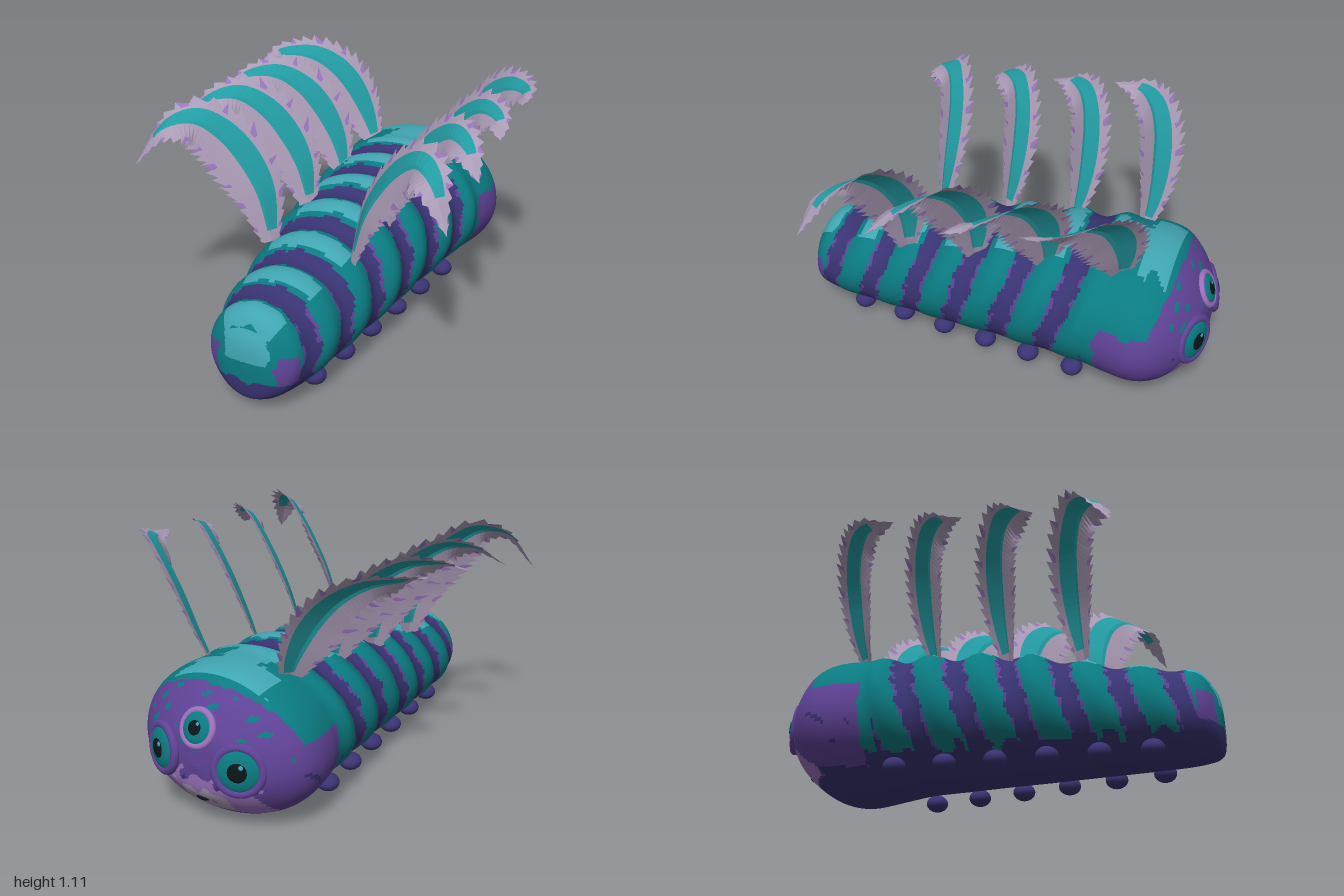
import * as THREE from 'three';

const V = (x, y, z) => new THREE.Vector3(x, y, z);
const mat = (name, color, double = false) => {
  const m = new THREE.MeshStandardMaterial({ color });
  m.name = name;
  if (double) m.side = THREE.DoubleSide;
  return m;
};

// Faces collected per material, then packed into geometry groups
function groupedMesh(name, positions, buckets, mats, flat) {
  let geo = new THREE.BufferGeometry();
  geo.setAttribute('position', new THREE.Float32BufferAttribute(positions, 3));
  geo.setIndex(buckets.flat());
  if (flat) geo = geo.toNonIndexed();
  let start = 0;
  buckets.forEach((b, i) => {
    if (b.length) geo.addGroup(start, b.length, i);
    start += b.length;
  });
  geo.computeVertexNormals();
  const mesh = new THREE.Mesh(geo, mats);
  mesh.name = name;
  return mesh;
}

// Smooth blotches used to roughen the colour borders
const noise = (x, y, z) =>
  Math.sin(41 * x + 17 * z) * Math.sin(53 * y + 31 * z + 1) + 0.5 * Math.sin(67 * x + 61 * y + 53 * z);

// Body stations from tail to face: z, half width, top, bottom
const STATIONS = [
  [0.99, 0, 0.2, 0.2], [0.983, 0.1, 0.3, 0.08], [0.955, 0.165, 0.37, 0.045], [0.9, 0.215, 0.425, 0.035],
  [0.8, 0.248, 0.455, 0.03], [0.6, 0.28, 0.488, 0.03], [0.4, 0.305, 0.535, 0.03], [0.2, 0.335, 0.585, 0.03],
  [0, 0.35, 0.62, 0.03], [-0.2, 0.375, 0.635, 0.03], [-0.4, 0.398, 0.65, 0.03], [-0.55, 0.42, 0.66, 0.015],
  [-0.7, 0.437, 0.665, 0.0], [-0.8, 0.412, 0.645, 0.02], [-0.88, 0.345, 0.58, 0.07], [-0.94, 0.255, 0.5, 0.13],
  [-0.975, 0.16, 0.43, 0.19], [-0.99, 0, 0.3, 0.3],
];
// Slanted wave that drives both the bulges and the stripes; +1 at a bulge
const wave = (depth, z) => Math.cos((Math.PI * 2 * (z - 0.3 * depth - 0.175)) / 0.241);

// 0 navy, 1 teal, 2 light teal, 3 purple, 4 lilac, 5 grey
function bodyColour(x, y, z, up, top) {
  const n = noise(x, y, z), ax = Math.abs(x);
  // Face
  if (z < -0.55 + 0.008 * n && y < 0.42 + 0.012 * n + Math.max(0, -0.78 - z) * 3) {
    if (z < -0.86 && ax < 0.09 + 0.04 * n && y > 0.08 && y < 0.19 + 0.025 * n) return 5;
    if (z < -0.79 && ax < 0.27 + 0.03 * n && y < 0.25 + 0.03 * n && y > 0.065) return 4;
    if (z < -0.83 && y > 0.36 && n > 0.85) return 1;
    if (y < 0.075 + 0.02 * n || (y < 0.3 && n < -1.2)) return 0;
    return 3;
  }
  // Belly
  if (y < 0.115 + 0.02 * n) return 0;
  // Crown of the head
  if (z < -0.49) {
    const reach = z < -0.68 ? 0.21 : z > -0.55 ? 0.21 : 0.11;
    return z > -0.81 && up > 0.7 && ax < reach + 0.025 * n ? 2 : 1;
  }
  // Tail end
  if (z > 0.9 && y < 0.28 && ax > 0.14 + 0.02 * n) return y < 0.15 ? 0 : 3;
  if (z > 0.95) return y < 0.15 + 0.01 * n ? 0 : y > 0.24 && y < 0.39 && ax < 0.1 + 0.015 * n ? 2 : 1;
  // Stripes
  const c = wave(top - y, z) + 0.14 * n;
  if (c > -0.2) return c > 0.3 && up > 0.8 && ax < 0.2 + 0.025 * n ? 2 : 1;
  return c > -0.5 && up < 0.75 && n > -0.3 ? 3 : 0;
}

function makeBody(mats) {
  const R = 260, S = 120, pos = [], ups = [], tops = [];
  const outer = new THREE.CatmullRomCurve3(STATIONS.map(([z, w, t]) => V(w, t, z)), false, 'catmullrom');
  const under = new THREE.CatmullRomCurve3(STATIONS.map(([z, , , b]) => V(0, b, z)), false, 'catmullrom');
  for (let i = 0; i <= R; i++) {
    const o = outer.getPoint(i / R), b = under.getPoint(i / R).y;
    const mid = b + (o.y - b) * 0.47;
    const fade = THREE.MathUtils.smoothstep(o.z, -0.62, -0.45) * (1 - THREE.MathUtils.smoothstep(o.z, 0.93, 0.98));
    tops.push(o.y);
    for (let j = 0; j < S; j++) {
      const a = (j / S) * Math.PI * 2, s = Math.sin(a);
      const y = mid + s * (s > 0 ? o.y - mid : mid - b);
      const k = 1 + 0.052 * fade * wave(o.y - y, o.z) * Math.min(1, Math.max(0, s + 0.8));
      pos.push(Math.cos(a) * Math.max(0, o.x) * k, mid + (y - mid) * k, o.z);
      ups.push(s);
    }
  }
  const buckets = [[], [], [], [], [], []];
  for (let i = 0; i < R; i++) for (let j = 0; j < S; j++) {
    const a = i * S + j, b = i * S + ((j + 1) % S), c = a + S, d = b + S;
    const avg = (k) => (pos[a * 3 + k] + pos[b * 3 + k] + pos[c * 3 + k] + pos[d * 3 + k]) / 4;
    buckets[bodyColour(avg(0), avg(1), avg(2), ups[a], tops[i])].push(a, c, b, b, c, d);
  }
  return groupedMesh('body', pos, buckets, mats, false);
}

// Serrated feather, slanted across its rib with a slight fold; k = 0 at the head to 3 at the tail
function makeFeather(k, side, mats) {
  const z0 = -0.6 + 0.343 * k, N = 40;
  const tip = [[0.68, 1.04], [0.7, 0.99], [0.735, 0.93], [0.735, 0.84]][k];
  const curve = new THREE.CatmullRomCurve3([
    V(0.2, 0.59 - 0.035 * k, z0), V(0.255, 0.71, z0 - 0.01), V(0.34, 0.86, z0), V(0.43, 0.965, z0 + 0.025),
    V(0.53, 1.03, z0 + 0.075), V(0.635, 1.05 - 0.015 * k, z0 + 0.16), V(tip[0], tip[1], z0 + 0.3 - 0.02 * k),
  ]);
  const pos = [], buckets = [[], [], []];
  for (const half of [-1, 1]) {
    const base = pos.length / 3, inner = half < 0 ? 0.58 : 0.14;
    const [across, outward] = half < 0 ? [-0.88, -0.47] : [0.64, 0.77];
    for (let i = 0; i <= N; i++) {
      const t = i / N, p = curve.getPointAt(t), T = curve.getTangentAt(t);
      const W = V(0, 0, 1).addScaledVector(T, -T.z).normalize();
      const out = T.clone().cross(W);
      const dir = W.multiplyScalar(across).addScaledVector(out, outward);
      // Narrow at the root, widest at mid length, pointed at the tip
      const w = 0.15 * (t < 0.4 ? 0.3 + 0.7 * Math.sin((t / 0.4) * Math.PI / 2) : 1 - Math.pow((t - 0.4) / 0.6, 1.7));
      const tooth = i % 2 === 0;
      for (const f of [0, inner, 0.72, tooth ? 1.08 : 0.84]) {
        const q = p.clone().addScaledVector(dir, w * f).addScaledVector(T, f > 1 ? 0.22 * w : 0);
        pos.push(q.x * side, q.y, q.z);
      }
    }
    for (let i = 0; i < N; i++) for (let c = 0; c < 3; c++) {
      const a = base + i * 4 + c, b = a + 4;
      const colour = c === 0 && i > 1 && i < N - 6 ? 0 : c === 2 && (i + k) % 5 === 0 ? 2 : 1;
      buckets[colour].push(a, b, a + 1, a + 1, b, b + 1);
    }
  }
  return groupedMesh(side > 0 ? 'leftFeather' : 'rightFeather', pos, buckets, mats, true);
}

function ball(name, material, r, sx, sy, sz, p) {
  const m = new THREE.Mesh(new THREE.SphereGeometry(r, 28, 18), material);
  m.name = name;
  m.scale.set(sx, sy, sz);
  m.position.copy(p);
  return m;
}

export function createModel() {
  const navy = mat('navy', 0x393373), teal = mat('teal', 0x0a7a81), lightTeal = mat('light teal', 0x40a5b2);
  const purple = mat('purple', 0x5f4296), lilac = mat('lilac', 0x9a70bb), grey = mat('grey lilac', 0xa79ab0);
  const black = mat('black', 0x0d1518);
  const featherTeal = mat('feather teal', 0x229ca3, true), featherGrey = mat('feather grey', 0xaa9bb6, true);
  const featherLilac = mat('feather lilac', 0x9a74bd, true);

  const model = new THREE.Group();
  model.name = 'caterpillar';
  model.add(makeBody([navy, teal, lightTeal, purple, lilac, grey]));

  for (const side of [-1, 1]) {
    // Back feathers
    for (let k = 0; k < 4; k++) model.add(makeFeather(k, side, [featherTeal, featherGrey, featherLilac]));
    // Stubby feet, wider apart toward the head
    for (let i = 0; i < 6; i++)
      model.add(ball('foot', navy, 0.052, 1, 0.76, 0.98, V(side * (0.165 + 0.022 * i), 0.055, 0.7 - 0.224 * i)));
  }

  // Three eyes: rim, iris, pupil and glint, built facing +z and then turned
  const addEye = (name, p, dir, r, rimMat) => {
    const eye = new THREE.Group();
    eye.name = name;
    const rim = new THREE.Mesh(new THREE.TorusGeometry(r * 0.84, r * 0.17, 12, 40), rimMat);
    rim.name = 'eyeRim';
    eye.add(rim,
      ball('iris', teal, r * 0.82, 1, 1, 0.36, V(0, 0, 0)),
      ball('pupil', black, r * 0.44, 1, 1, 0.36, V(0, 0, r * 0.17)),
      ball('glint', lightTeal, r * 0.09, 1, 1, 0.4, V(r * 0.14, r * 0.2, r * 0.29)));
    eye.position.copy(p);
    eye.lookAt(p.clone().add(dir));
    model.add(eye);
  };
  addEye('leftEye', V(0.195, 0.32, -0.948), V(0.42, 0.1, -1), 0.118, purple);
  addEye('rightEye', V(-0.195, 0.32, -0.948), V(-0.42, 0.1, -1), 0.118, purple);
  addEye('topEye', V(0, 0.46, -0.957), V(0, 0.45, -1), 0.088, lilac);

  // Small mouth
  model.add(ball('mouth', black, 0.035, 1, 0.45, 0.5, V(0, 0.142, -0.94)));
  return model;
}
